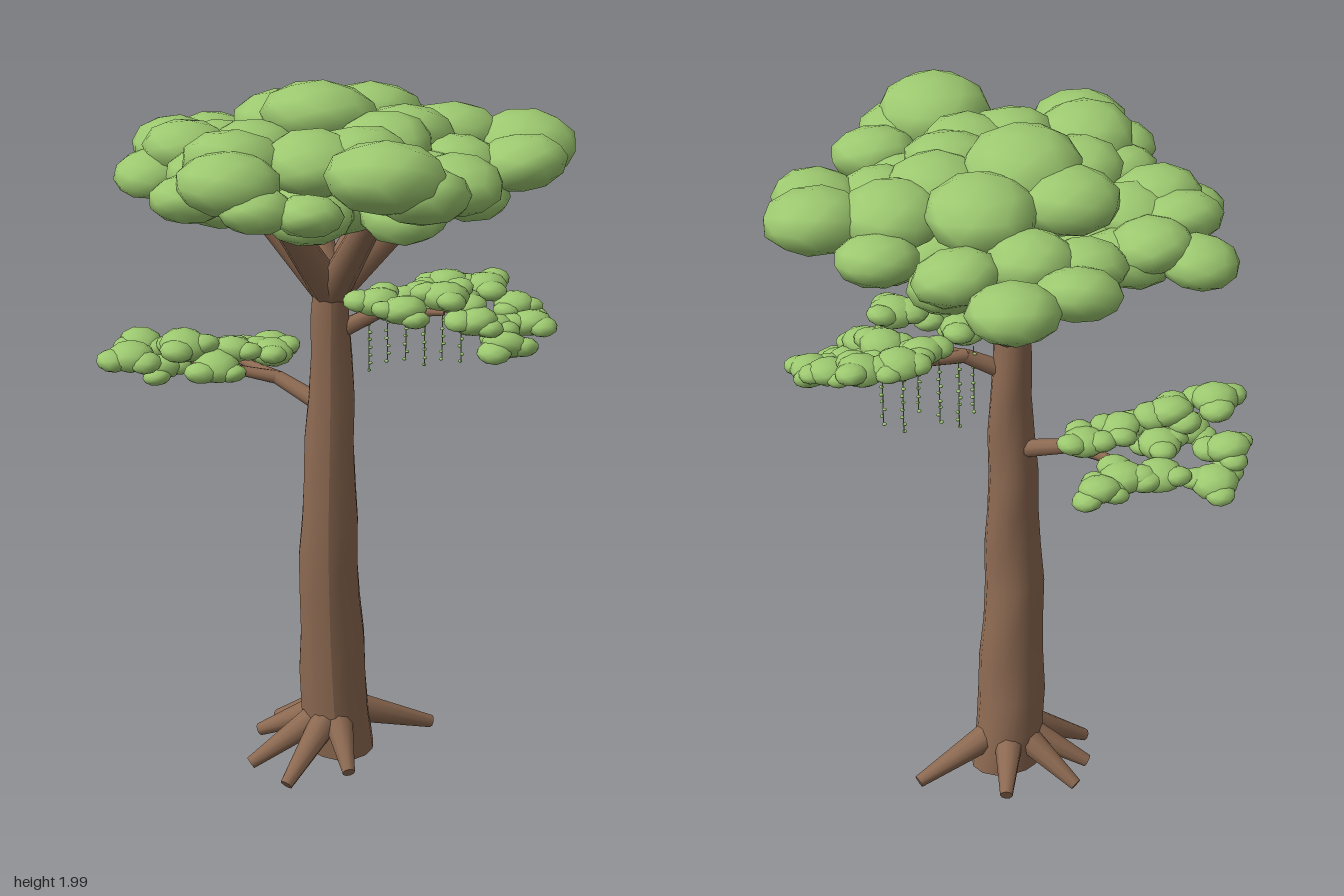
import * as THREE from 'three';

const bark = new THREE.MeshStandardMaterial({ color: 0x8d6a52 });
bark.name = 'bark brown';
const leaf = new THREE.MeshStandardMaterial({ color: 0x9dc970 });
leaf.name = 'leaf green';

// seeded random numbers for small irregularities
let seed = 7;
const rnd = () => (seed = (seed * 16807) % 2147483647) / 2147483647;

// tapered straight limb between two points
function limb(a, b, r0, r1, name, mat = bark, sides = 9) {
  const p = new THREE.Vector3(...a), q = new THREE.Vector3(...b), d = q.clone().sub(p);
  const m = new THREE.Mesh(new THREE.CylinderGeometry(r1, r0, d.length(), sides), mat);
  m.position.copy(p).add(q).multiplyScalar(0.5);
  m.quaternion.setFromUnitVectors(new THREE.Vector3(0, 1, 0), d.normalize());
  m.name = name;
  return m;
}

// trunk: a cylinder whose rings follow a wandering, tapering centre line
function makeTrunk() {
  const bottom = 0.05, top = 1.47, rows = 12;
  const path = new THREE.CatmullRomCurve3([
    new THREE.Vector3(0.006, 0, -0.04), new THREE.Vector3(-0.012, 0, -0.022),
    new THREE.Vector3(-0.018, 0, -0.004), new THREE.Vector3(-0.013, 0, -0.006),
    new THREE.Vector3(-0.012, 0, 0),
  ]);
  const g = new THREE.CylinderGeometry(1, 1, top - bottom, 14, rows);
  const pos = g.attributes.position;
  for (let i = 0; i < pos.count; i++) {
    const t = pos.getY(i) / (top - bottom) + 0.5;
    const c = path.getPoint(t), x = pos.getX(i), z = pos.getZ(i);
    const r = 0.1 - 0.053 * Math.pow(t, 1.25) + 0.004 * Math.sin(t * 24 + x * 2 + z);
    pos.setXYZ(i, c.x + x * r, bottom + t * (top - bottom) + (1 - t) * (-x - z) * 0.008, c.z + z * r);
  }
  g.computeVertexNormals();
  const m = new THREE.Mesh(g, bark);
  m.name = 'trunk';
  return m;
}

// flattened foliage ball with a faceted outline
const ball = new THREE.IcosahedronGeometry(1, 1);
function puff(x, y, z, r, h, name) {
  const m = new THREE.Mesh(ball, leaf);
  m.position.set(x, y, z);
  m.scale.set(r, h, r);
  m.rotation.set((rnd() - 0.5) * 0.4, rnd() * 6.28, (rnd() - 0.5) * 0.4);
  m.name = name;
  return m;
}

export function createModel() {
  const tree = new THREE.Group();
  tree.name = 'tree';
  const group = (name) => {
    const g = new THREE.Group();
    g.name = name;
    tree.add(g);
    return g;
  };

  tree.add(makeTrunk());

  // roots spreading to their tips
  const roots = group('roots');
  for (const [x, y, z] of [
    [-0.24, 0.03, 0.06], [-0.135, 0.02, 0.17], [0.04, 0.06, 0.17], [0.275, 0.065, -0.14],
    [0.04, 0.085, -0.265], [-0.17, 0.05, -0.2], [-0.22, 0.055, -0.1],
  ]) roots.add(limb([x * 0.22, 0.15, -0.025 + (z + 0.025) * 0.3], [x, y, z], 0.042, 0.018, 'root'));

  // crown limbs fanning out under the canopy
  const crown = group('crownLimbs');
  for (let i = 0; i < 6; i++) {
    const a = (i / 6) * Math.PI * 2 + 0.1, x = Math.cos(a), z = Math.sin(a);
    crown.add(limb([-0.012 + x * 0.012, 1.43, z * 0.012], [x * 0.27, 1.73, z * 0.3], 0.047, 0.034, 'crownLimb'));
  }

  // canopy puffs [x, z, radius]; large and central ones sit higher
  const canopy = group('canopy');
  for (const [x, z, r] of [
    [-0.04, 0, 0.16], [0.18, 0.01, 0.135], [0.09, -0.18, 0.147], [-0.01, -0.33, 0.118],
    [0.06, -0.53, 0.122], [-0.11, -0.46, 0.115], [0.18, -0.36, 0.115], [0.36, -0.23, 0.112],
    [0.5, -0.06, 0.14], [0.48, 0.09, 0.125], [0.32, 0.1, 0.112], [0.31, -0.1, 0.135],
    [0.31, 0.34, 0.12], [0.13, 0.48, 0.155], [0.22, 0.46, 0.125], [0.06, 0.25, 0.133],
    [-0.05, 0.3, 0.133], [-0.25, 0.28, 0.138], [-0.26, 0.42, 0.135], [-0.36, 0.37, 0.105],
    [-0.19, 0.47, 0.1], [-0.06, 0.48, 0.09], [-0.33, 0.19, 0.105], [-0.39, -0.02, 0.122],
    [-0.43, -0.12, 0.118], [-0.45, -0.29, 0.105], [-0.33, -0.25, 0.112], [-0.49, 0.03, 0.095],
    [-0.32, -0.1, 0.112], [-0.2, 0.1, 0.125], [-0.14, -0.12, 0.14], [0.12, 0.15, 0.135],
    [-0.16, -0.32, 0.105], [0.24, 0.22, 0.1],
  ]) {
    const y = 1.805 - 0.2 * (x * x + z * z) + 0.05 * z + (r - 0.1) * 1.55;
    canopy.add(puff(x, y, z, r, r * 0.6, 'canopyPuff'));
  }
  // underside rings: count, radius across x and z, height, puff radius
  for (const [n, rx, rz, y, r] of [[6, 0.2, 0.22, 1.72, 0.135], [9, 0.36, 0.36, 1.735, 0.12]])
    for (let i = 0; i < n; i++) {
      const a = ((i + 0.5) / n) * Math.PI * 2;
      canopy.add(puff(Math.cos(a) * rx, y, Math.sin(a) * rz, r, r * 0.6, 'undersidePuff'));
    }

  // lower boughs: a forked stem carrying tufts, each with smaller companions
  const bough = (name, base, fork, ends, tufts) => {
    const g = group(name);
    g.add(limb(base, fork, 0.026, 0.02, 'boughStem'));
    for (const end of ends) g.add(limb(fork, end, 0.019, 0.008, 'boughFork'));
    for (const [x, y, z] of tufts) {
      const r = 0.056 + rnd() * 0.012, turn = rnd() * 6.28;
      g.add(puff(x, y, z, r, r * 0.6, 'tuft'));
      for (let k = 0; k < 3; k++) {
        const a = turn + k * 2.1, s = r * (0.6 + rnd() * 0.15);
        g.add(puff(x + Math.cos(a) * r * 0.75, y + (rnd() - 0.6) * 0.03, z + Math.sin(a) * r * 0.75, s, s * 0.62, 'smallTuft'));
      }
    }
  };
  bough('rightBough', [-0.03, 1.08, -0.03], [-0.16, 1.13, -0.12],
    [[-0.4, 1.17, -0.14], [-0.32, 1.14, -0.3]], [
      [-0.56, 1.21, -0.06], [-0.42, 1.22, -0.13], [-0.38, 1.17, -0.21], [-0.55, 1.18, -0.27],
      [-0.5, 1.125, -0.35], [-0.28, 1.2, -0.16], [-0.18, 1.18, -0.19], [-0.26, 1.14, -0.32],
      [-0.19, 1.14, -0.37], [-0.48, 1.16, -0.12], [-0.36, 1.14, -0.32], [-0.33, 1.17, -0.1],
    ]);
  bough('leftBough', [0.01, 1.31, 0], [0.11, 1.36, 0],
    [[0.29, 1.38, 0.06], [0.32, 1.38, -0.07]], [
      [0.11, 1.41, 0.06], [0.18, 1.42, 0.16], [0.29, 1.445, 0.12], [0.23, 1.4, -0.03],
      [0.33, 1.4, 0.02], [0.4, 1.4, -0.11], [0.48, 1.37, -0.05], [0.52, 1.34, 0.02],
      [0.42, 1.34, 0.05], [0.45, 1.305, 0.1], [0.3, 1.41, -0.11], [0.37, 1.37, 0.1],
    ]);

  // hanging vines with tiny leaves
  const vines = group('vines');
  for (let i = 0; i < 6; i++) {
    const x = 0.09 + i * 0.05, z = -0.055 + 0.05 * Math.cos(i * 2.2), low = 1.19 + rnd() * 0.02;
    vines.add(limb([x, low, z], [x, 1.39, z], 0.0015, 0.0015, 'vineStem', leaf, 5));
    for (let y = low; y < 1.37; y += 0.022) {
      const a = rnd() * 6.28;
      vines.add(puff(x + Math.cos(a) * 0.004, y, z + Math.sin(a) * 0.004, 0.006, 0.004, 'vineLeaf'));
    }
  }
  return tree;
}
